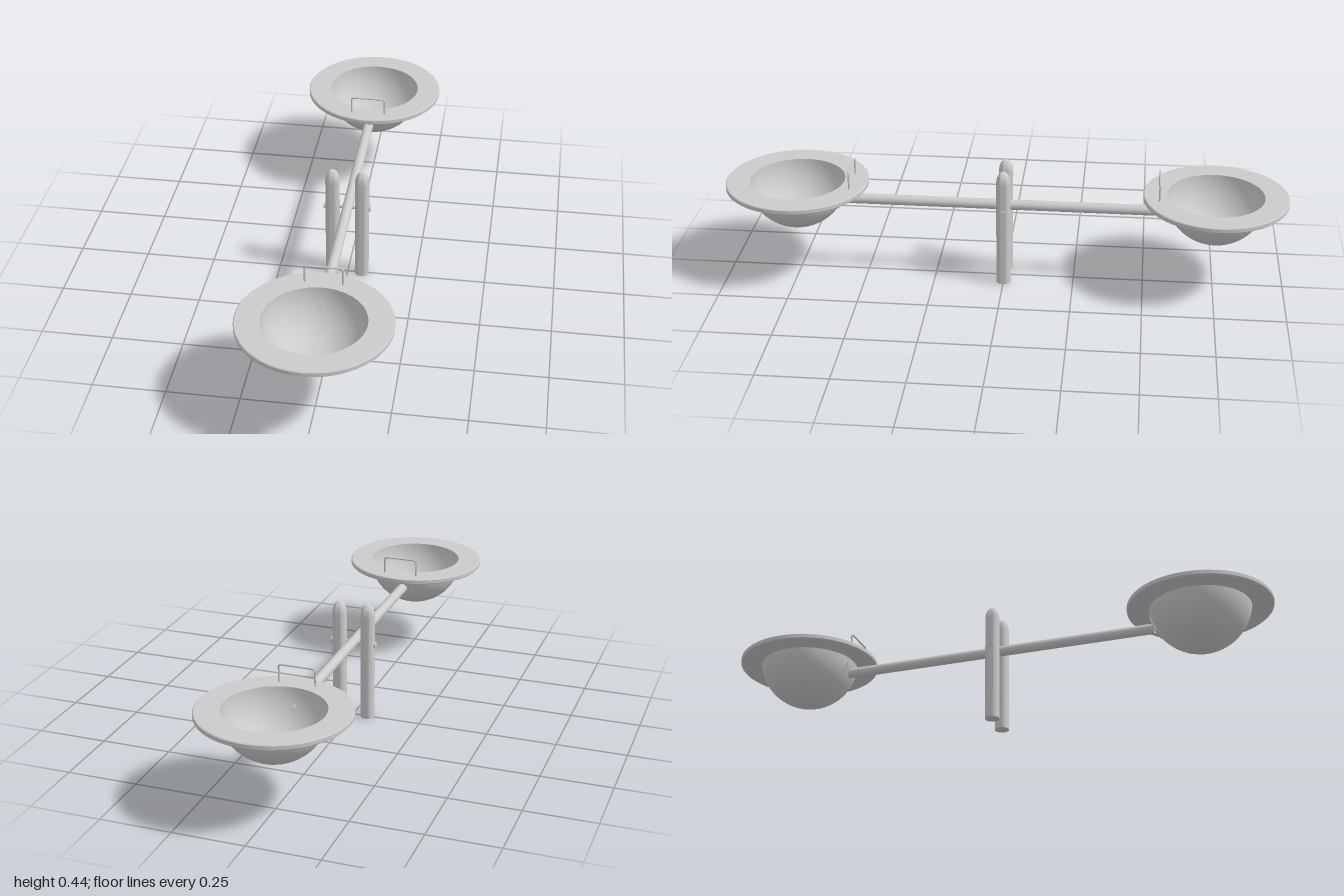
import * as THREE from 'three';
import { toCreasedNormals } from 'three/addons/utils/BufferGeometryUtils.js';

const grey = new THREE.MeshStandardMaterial({ color: 0xcccccc });
const BEAM_Y = 0.284, SEAT_Z = 0.745, BOWL_Y = 0.358, BOWL_R = 0.18;

function add(parent, name, geometry, x = 0, y = 0, z = 0) {
  const mesh = new THREE.Mesh(geometry, grey);
  mesh.name = name;
  mesh.position.set(x, y, z);
  parent.add(mesh);
  return mesh;
}

function lathe(points, segments) {
  const profile = points.map(([r, y]) => new THREE.Vector2(r, y));
  return toCreasedNormals(new THREE.LatheGeometry(profile, segments), 0.6);
}

// Points on a circular arc about (0, cy), from angle a0 to a1 below the horizontal
function arc(radius, cy, a0, a1, steps) {
  return Array.from({ length: steps + 1 }, (_, i) => {
    const a = a0 + (a1 - a0) * i / steps;
    return [Math.max(0, radius * Math.cos(a)), cy - radius * Math.sin(a)];
  });
}

// Round bowl with a flat, wide rim, as one closed shell
function bowlGeometry() {
  return lathe([
    ...arc(BOWL_R, BOWL_Y, Math.PI / 2, 0.14, 20),
    [0.252, 0.333], [0.255, 0.336], [0.255, 0.349], [0.252, 0.352],
    [0.17, 0.352],
    ...arc(0.17, BOWL_Y, 0.06, Math.PI / 2, 20),
  ], 64);
}

// Bent wire handle with rounded top corners
function handleGeometry() {
  const w = 0.063, top = 0.413, r = 0.01, base = 0.335;
  const v = (x, y) => new THREE.Vector3(x, y, 0);
  const path = new THREE.CurvePath();
  path.add(new THREE.LineCurve3(v(-w, base), v(-w, top - r)));
  path.add(new THREE.QuadraticBezierCurve3(v(-w, top - r), v(-w, top), v(-w + r, top)));
  path.add(new THREE.LineCurve3(v(-w + r, top), v(w - r, top)));
  path.add(new THREE.QuadraticBezierCurve3(v(w - r, top), v(w, top), v(w, top - r)));
  path.add(new THREE.LineCurve3(v(w, top - r), v(w, base)));
  return new THREE.TubeGeometry(path, 80, 0.0035, 8);
}

// Square plate bent to follow the outside of the bowl
function plateGeometry() {
  const geo = new THREE.BoxGeometry(0.075, 0.06, 0.008, 8, 8, 1);
  const pos = geo.attributes.position;
  for (let i = 0; i < pos.count; i++) {
    const p = new THREE.Vector3().fromBufferAttribute(pos, i);
    const radius = BOWL_R + p.z;
    p.z = 0;
    p.add(new THREE.Vector3(0, 0, BOWL_R)).setLength(radius);
    pos.setXYZ(i, p.x, p.y, p.z);
  }
  return toCreasedNormals(geo, 0.6);
}

// One seat, built facing +z, with its handle and fixings towards the beam
function createSeat() {
  const seat = new THREE.Group();
  seat.name = 'seat';
  add(seat, 'bowl', bowlGeometry(), 0, 0, SEAT_Z);
  add(seat, 'handle', handleGeometry(), 0, 0, 0.547);

  const mount = new THREE.Group();
  mount.name = 'bowlMount';
  mount.position.set(0, BOWL_Y, SEAT_Z);
  mount.rotation.set(-Math.asin((BOWL_Y - BEAM_Y) / BOWL_R), Math.PI, 0, 'YXZ');
  mount.rotation.x *= -1;
  add(mount, 'mountPlate', plateGeometry());
  add(mount, 'mountBolt', new THREE.CylinderGeometry(0.012, 0.012, 0.01, 20), 0, 0, 0.168)
    .rotation.x = Math.PI / 2;
  seat.add(mount);
  return seat;
}

export function createModel() {
  const model = new THREE.Group();
  model.name = 'seesaw';

  // Beam between the two bowls
  add(model, 'beam', new THREE.CylinderGeometry(0.0185, 0.0185, 1.16, 32), 0, BEAM_Y, 0)
    .rotation.x = Math.PI / 2;

  // Pivot pin through both posts
  add(model, 'pivotPin', new THREE.CylinderGeometry(0.007, 0.007, 0.166, 16), -0.0015, BEAM_Y, 0)
    .rotation.z = Math.PI / 2;

  // Posts with tall domed tops
  const dome = Array.from({ length: 13 }, (_, i) => {
    const a = i / 12 * Math.PI / 2;
    return [Math.max(0, 0.0255 * Math.cos(a)), 0.39 + 0.045 * Math.sin(a)];
  });
  const postGeometry = lathe([[0, 0], [0.0255, 0], ...dome], 32);
  for (const side of [-1, 1]) {
    const x = side * 0.053 - 0.0015;
    add(model, 'post', postGeometry, x, 0, 0);
    add(model, 'pivotBolt', new THREE.CylinderGeometry(0.011, 0.011, 0.006, 16),
      x + side * 0.0275, BEAM_Y, 0).rotation.z = Math.PI / 2;
  }

  // Matching seats at both ends
  for (const turn of [0, Math.PI]) {
    const seat = createSeat();
    seat.rotation.y = turn;
    model.add(seat);
  }
  return model;
}
